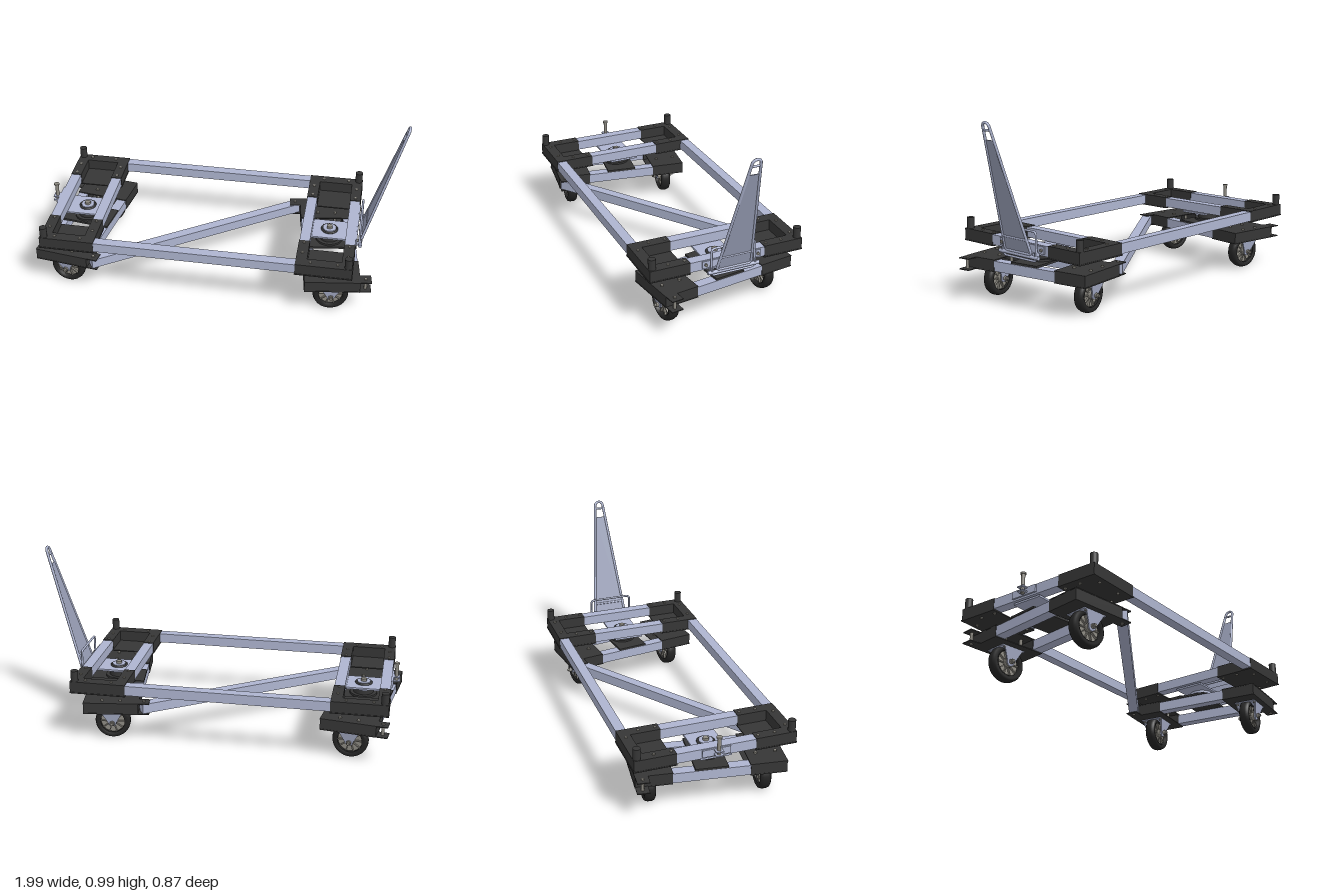
import * as THREE from 'three';

const mat = (color) => new THREE.MeshStandardMaterial({ color });
const STEEL = mat(0xaeb5d0), BLACK = mat(0x363636), RUBBER = mat(0x242424), METAL = mat(0x8d8a82);
const PANEL = mat(0x9aa0b8);
PANEL.side = THREE.DoubleSide;

function add(parent, name, geo, material, x = 0, y = 0, z = 0) {
  const m = new THREE.Mesh(geo, material);
  m.name = name;
  m.position.set(x, y, z);
  parent.add(m);
  return m;
}
// Box given by its limits on each axis
function box(parent, name, material, x0, x1, y0, y1, z0, z1) {
  return add(parent, name, new THREE.BoxGeometry(Math.abs(x1 - x0), y1 - y0, Math.abs(z1 - z0)), material,
    (x0 + x1) / 2, (y0 + y1) / 2, (z0 + z1) / 2);
}
// Upright cylinder between two heights
function post(parent, name, material, r, x, y0, y1, z, sides = 24) {
  return add(parent, name, new THREE.CylinderGeometry(r, r, y1 - y0, sides), material, x, (y0 + y1) / 2, z);
}
// Cylinder lying along z
function axleBar(parent, name, material, r, x, y, z0, z1, sides = 20) {
  const m = add(parent, name, new THREE.CylinderGeometry(r, r, Math.abs(z1 - z0), sides), material, x, y, (z0 + z1) / 2);
  m.rotation.x = Math.PI / 2;
  return m;
}
// Closed round bar through [z, y] points
function wireLoop(parent, name, pts, r, x) {
  const path = new THREE.CurvePath();
  const v = pts.map(([z, y]) => new THREE.Vector3(0, y, z));
  v.forEach((p, i) => path.add(new THREE.LineCurve3(p, v[(i + 1) % v.length])));
  return add(parent, name, new THREE.TubeGeometry(path, 200, r, 10, true), STEEL, x);
}
function arc(cz, cy, r, a0, a1, n = 6) {
  return Array.from({ length: n + 1 }, (_, i) => {
    const a = a0 + (a1 - a0) * i / n;
    return [cz + r * Math.cos(a), cy + r * Math.sin(a)];
  });
}

// Upper frame end: two cross beams, sleeved corners, floor plates, stake posts
function upperEnd(root, x0, x1, postX) {
  const g = new THREE.Group();
  g.name = 'upperFrameEnd';
  root.add(g);
  const w = 0.056, y0 = 0.308, y1 = 0.362, cx = (x0 + x1) / 2;
  for (const a of [x0 + 0.002, x1 - w - 0.002]) box(g, 'crossBeam', STEEL, a, a + w, y0, y1, -0.22, 0.22);
  for (const s of [-1, 1]) {
    box(g, 'railSleeve', BLACK, x0, x1, 0.303, 0.366, s * 0.37, s * 0.43);
    for (const a of [x0, x1 - w - 0.004])
      box(g, 'crossSleeve', BLACK, a, a + w + 0.004, 0.303, 0.366, s * 0.21, s * 0.37);
    box(g, 'cornerFloor', BLACK, x0 - 0.002, x1 + 0.002, 0.3, 0.306, s * 0.208, s * 0.433);
    post(g, 'stakePost', BLACK, 0.02, postX, 0.303, 0.425, s * 0.41);
    for (const [bx, bz] of [[x0 + 0.03, 0.32], [x0 + 0.03, 0.23], [x1 - 0.03, 0.32], [x1 - 0.03, 0.23],
      [x0 + 0.08, 0.4], [x1 - 0.08, 0.4]])
      post(g, 'bolt', METAL, 0.008, bx, 0.294, 0.371, s * bz, 6);
  }
  // Plate that carries the turntable
  box(g, 'pivotPlate', STEEL, cx - 0.14, cx + 0.14, 0.293, 0.303, -0.083, 0.083);
}

// Caster: plate, flared fork legs, axle, tyre and spoked wheel
function caster(parent, z) {
  const g = new THREE.Group();
  g.name = 'caster';
  g.position.z = z;
  parent.add(g);
  const axleY = 0.097;
  box(g, 'casterPlate', STEEL, -0.07, 0.07, 0.164, 0.172, -0.06, 0.06);
  for (const sx of [-1, 1]) for (const sz of [-1, 1])
    post(g, 'casterBolt', METAL, 0.009, sx * 0.05, 0.158, 0.243, sz * 0.052, 6);

  const leg = new THREE.Shape();
  leg.moveTo(-0.058, 0.072);
  leg.lineTo(-0.022, 0);
  leg.absarc(0, 0, 0.022, Math.PI, 2 * Math.PI, false);
  leg.lineTo(0.058, 0.072);
  const legGeo = new THREE.ExtrudeGeometry(leg, { depth: 0.008, bevelEnabled: false }).translate(0, 0, -0.004);
  for (const s of [-1, 1]) {
    const m = add(g, 'forkLeg', legGeo, STEEL, 0, axleY, s * 0.04);
    m.rotation.x = s * 0.25;
    axleBar(g, 'axleNut', METAL, 0.014, 0, axleY, s * 0.045, s * 0.057, 6);
  }
  axleBar(g, 'axle', METAL, 0.008, 0, axleY, -0.067, 0.067);

  const profile = [[0.066, -0.024], [0.082, -0.03], [0.092, -0.024], [0.097, -0.01],
    [0.097, 0.01], [0.092, 0.024], [0.082, 0.03], [0.066, 0.024], [0.066, -0.024]];
  const tyre = add(g, 'tyre', new THREE.LatheGeometry(profile.map((p) => new THREE.Vector2(...p)), 40), RUBBER, 0, axleY);
  tyre.rotation.x = Math.PI / 2;
  axleBar(g, 'wheelDisc', METAL, 0.067, 0, axleY, -0.008, 0.008, 40);
  axleBar(g, 'wheelHub', METAL, 0.024, 0, axleY, -0.033, 0.033);
  for (let i = 0; i < 5; i++) {
    const m = add(g, 'spokes', new THREE.BoxGeometry(0.132, 0.006, 0.036), METAL, 0, axleY);
    m.rotation.z = i * Math.PI / 5;
  }
}

// Steered bogie under each end
const HX = 0.15, HZ = 0.389, STEER = 0.14;
function bogie(root, x, angle) {
  const g = new THREE.Group();
  g.name = 'bogie';
  g.position.x = x;
  g.rotation.y = angle;
  root.add(g);
  for (const s of [-1, 1]) {
    box(g, 'bogieBeam', STEEL, s * (HX - 0.057), s * (HX - 0.002), 0.174, 0.228, -0.22, 0.22);
    box(g, 'endSleeve', BLACK, -HX, HX, 0.171, 0.232, s * (HZ - 0.06), s * HZ);
    for (const t of [-1, 1])
      box(g, 'beamSleeve', BLACK, t * (HX - 0.06), t * HX, 0.171, 0.232, s * 0.2, s * (HZ - 0.06));
    // Corner plates and the forked lugs that take the steering link
    for (const y of [0.17, 0.23]) {
      box(g, 'cornerPlate', BLACK, -HX - 0.001, HX + 0.001, y, y + 0.005, s * 0.198, s * (HZ + 0.002));
      box(g, 'linkLug', BLACK, s * (HX - 0.01), s * (HX + 0.06), y, y + 0.005, s * (HZ - 0.065), s * HZ);
    }
    post(g, 'lugPin', METAL, 0.009, s * (HX + 0.03), 0.164, 0.241, s * (HZ - 0.032), 6);
    caster(g, s * 0.3);
  }
  // Turntable
  box(g, 'turntableBase', BLACK, -HX, HX, 0.23, 0.241, -0.085, 0.085);
  post(g, 'turntableRing', BLACK, 0.075, 0, 0.241, 0.252, 0, 40);
  post(g, 'turntableBearing', BLACK, 0.055, 0, 0.25, 0.28, 0, 40);
  post(g, 'turntableCap', STEEL, 0.065, 0, 0.28, 0.295, 0, 40);
  post(g, 'pivotCollar', STEEL, 0.036, 0, 0.3, 0.314, 0, 32);
  const ring = add(g, 'pivotRing', new THREE.TorusGeometry(0.042, 0.006, 10, 36), BLACK, 0, 0.306);
  ring.rotation.x = Math.PI / 2;
  post(g, 'pivotBolt', METAL, 0.017, 0, 0.31, 0.328, 0, 6);
}

// Tow handle with its mount on the +x end
function towHandle(root) {
  const g = new THREE.Group();
  g.name = 'towHandle';
  g.position.z = -0.02;
  root.add(g);
  box(g, 'handleMountPlate', STEEL, 0.757, 0.765, 0.318, 0.358, -0.165, 0.165);
  for (const s of [-1, 1]) {
    const m = post(g, 'mountBolt', METAL, 0.009, 0.767, 0.332, 0.344, s * 0.147, 6);
    m.rotation.z = Math.PI / 2;
    box(g, 'hingeLug', STEEL, 0.76, 0.79, 0.287, 0.325, s * 0.118, s * 0.126);
  }
  const q = Math.PI / 2, r = 0.018;
  wireLoop(g, 'handleRest', [...arc(0.122 - r, 0.43 - r, r, 0, q), ...arc(-0.122 + r, 0.43 - r, r, q, 2 * q),
    ...arc(-0.122 + r, 0.277 + r, r, 2 * q, 3 * q), ...arc(0.122 - r, 0.277 + r, r, 3 * q, 4 * q)], 0.006, 0.777);
  axleBar(g, 'hingeBar', STEEL, 0.01, 0.783, 0.298, -0.145, 0.145);

  const arm = new THREE.Group();
  arm.name = 'handleArm';
  arm.position.set(0.786, 0.308, 0);
  arm.rotation.z = -0.29;
  g.add(arm);
  const half = (y) => 0.097 - 0.073 * y / 0.685;
  wireLoop(arm, 'handleFrame', [[-0.087, 0.003], [0.087, 0.003], [0.096, 0.012],
    ...arc(0, 0.685, 0.024, 0, Math.PI, 12), [-0.096, 0.012]], 0.0075, 0);
  for (const y of [0.083, 0.668]) axleBar(arm, 'handleCrossbar', STEEL, 0.006, 0, y, -half(y), half(y), 12);
  const top = 0.616, panel = new THREE.Shape();
  panel.moveTo(-half(0), 0.005);
  panel.lineTo(half(0), 0.005);
  panel.lineTo(half(top), top);
  panel.lineTo(-half(top), top);
  const m = add(arm, 'handlePanel', new THREE.ExtrudeGeometry(panel, { depth: 0.004, bevelEnabled: false }), PANEL, -0.002);
  m.rotation.y = Math.PI / 2;
}

export function createModel() {
  const root = new THREE.Group();
  root.name = 'steeredTrolley';
  upperEnd(root, -0.945, -0.643, -0.923);
  upperEnd(root, 0.455, 0.76, 0.737);
  for (const s of [-1, 1]) box(root, 'sideRail', STEEL, -0.66, 0.47, 0.308, 0.362, s * 0.375, s * 0.428);

  bogie(root, -0.79, -STEER);
  bogie(root, 0.605, STEER);

  // Diagonal link that makes the bogies steer opposite ways
  const a = new THREE.Vector2(-0.675, 0.388), b = new THREE.Vector2(0.39, -0.337);
  const link = add(root, 'steeringLink', new THREE.BoxGeometry(a.distanceTo(b), 0.054, 0.053), STEEL,
    (a.x + b.x) / 2, 0.203, (a.y + b.y) / 2);
  link.rotation.y = -Math.atan2(b.y - a.y, b.x - a.x);

  towHandle(root);

  // Hitch pin on the -x end
  box(root, 'hitchPlate', STEEL, -0.952, -0.942, 0.318, 0.358, -0.08, 0.07);
  for (const y of [0.327, 0.35]) box(root, 'hitchLug', STEEL, -0.985, -0.945, y, y + 0.006, -0.02, 0.02);
  post(root, 'hitchPin', METAL, 0.01, -0.966, 0.32, 0.425, 0);
  post(root, 'hitchPinHead', METAL, 0.015, -0.966, 0.425, 0.433, 0);
  return root;
}
